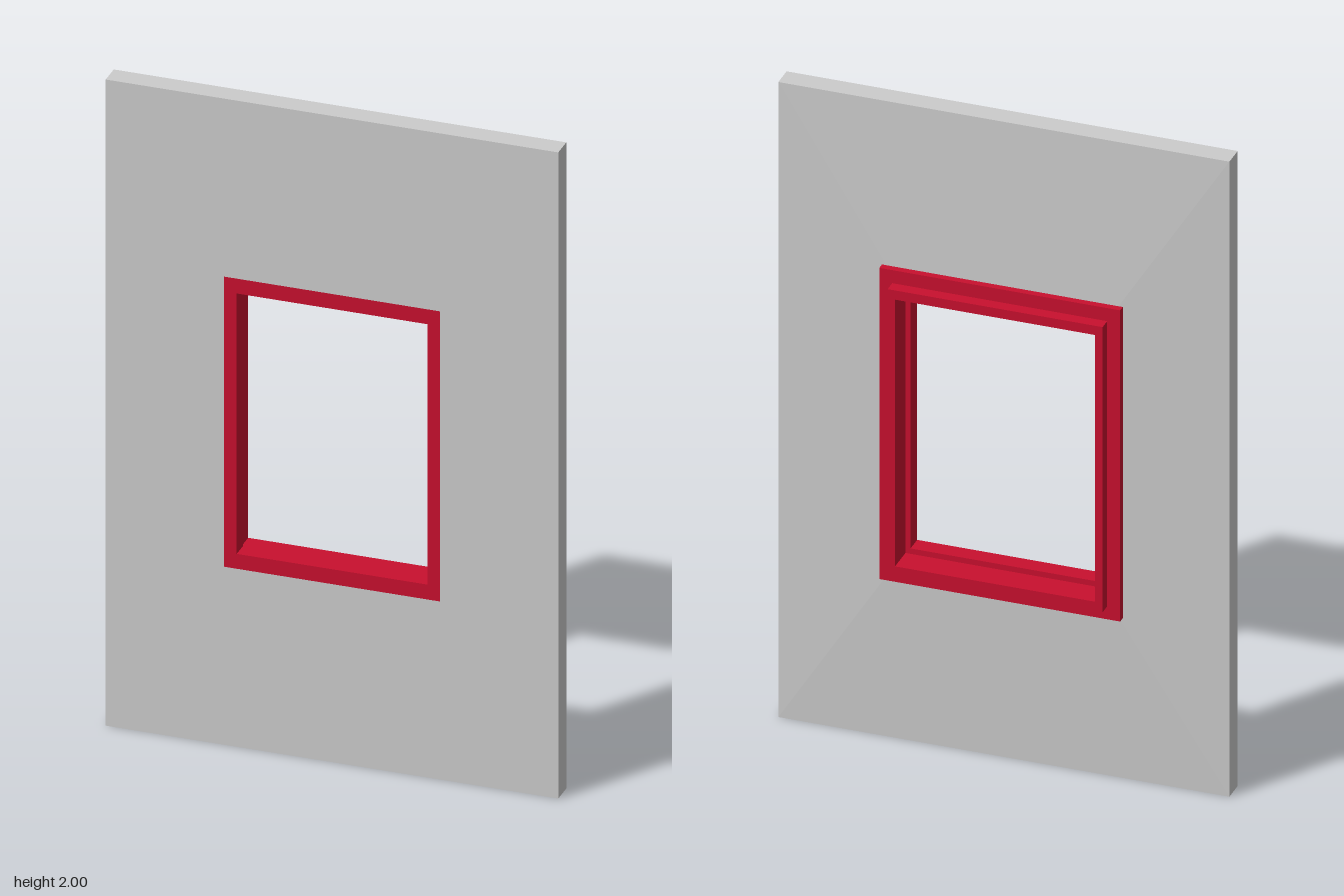
import * as THREE from 'three';

// Sweeps a closed profile of [halfWidth, halfHeight, z] points round a rectangle centred on y = 1.
function rectangularRing(name, profile, color) {
  const corners = [[1, -1], [1, 1], [-1, 1], [-1, -1]];
  const positions = [];
  const point = (i, k) => {
    const [w, h, z] = profile[i % profile.length];
    const [sx, sy] = corners[k % 4];
    return [sx * w, 1 + sy * h, z];
  };
  for (let i = 0; i < profile.length; i++) {
    for (let k = 0; k < 4; k++) {
      const a = point(i, k), b = point(i + 1, k);
      const c = point(i + 1, k + 1), d = point(i, k + 1);
      positions.push(...a, ...b, ...c, ...a, ...c, ...d);
    }
  }
  const geometry = new THREE.BufferGeometry();
  geometry.setAttribute('position', new THREE.Float32BufferAttribute(positions, 3));
  geometry.computeVertexNormals();
  const mesh = new THREE.Mesh(geometry, new THREE.MeshStandardMaterial({ color, flatShading: true }));
  mesh.name = name;
  return mesh;
}

export function createModel() {
  const group = new THREE.Group();
  group.name = 'framedWallPanel';

  // Wall panel: flat front, back rising slightly towards the opening
  group.add(rectangularRing('wallPanel', [
    [0.317, 0.449, 0.068],
    [0.665, 1, 0.068],
    [0.665, 1, 0.002],
    [0.317, 0.449, -0.011],
  ], 0xcccccc));

  // Window frame: front stop, back flange and projecting back rim
  group.add(rectangularRing('windowFrame', [
    [0.28, 0.403, 0.068],
    [0.317, 0.449, 0.068],
    [0.317, 0.449, -0.009],
    [0.355, 0.49, -0.009],
    [0.355, 0.49, -0.031],
    [0.317, 0.449, -0.031],
    [0.317, 0.449, -0.068],
    [0.295, 0.42, -0.068],
    [0.295, 0.42, 0.015],
    [0.28, 0.403, 0.015],
  ], 0xc8102e));

  return group;
}
